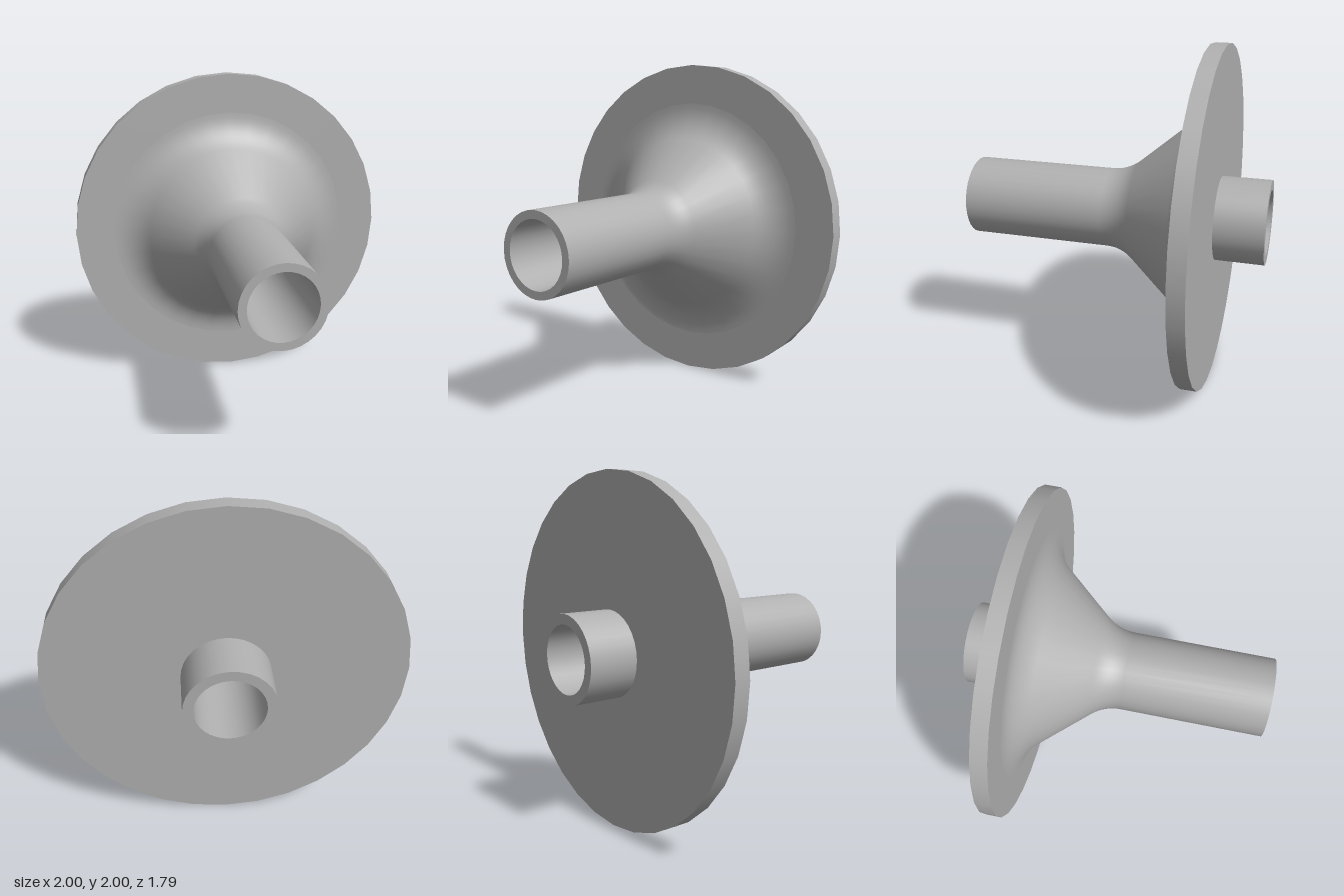
import * as THREE from 'three';

const SEGMENTS = 32;

export function createModel() {
  const group = new THREE.Group();
  const grey = new THREE.MeshStandardMaterial({ color: 0xb0b0b0 });
  grey.name = 'plain grey';

  const v = (r, z) => new THREE.Vector2(r, z);
  // Turned surface: points are [radius, z], faces look to the right of the path
  const turn = (points) => new THREE.LatheGeometry(points, SEGMENTS).rotateX(Math.PI / 2);
  const add = (name, ...profiles) => {
    const part = new THREE.Group();
    part.name = name;
    for (const p of profiles) {
      const mesh = new THREE.Mesh(turn(p), grey);
      mesh.name = name + 'Surface';
      part.add(mesh);
    }
    part.position.y = 1;
    group.add(part);
  };

  const bore = 0.19, frontR = 0.236, backR = 0.247;
  const back = -0.9, discBack = -0.613, discFront = -0.518, front = 0.895;

  // Short tube behind the disc
  add('backTube',
    [v(bore, back), v(backR, back)].map((p) => p),
    [v(backR, back), v(backR, discBack)]);

  // Round disc: back face, rim and the outer ring of its front face
  add('disc',
    [v(backR, discBack), v(1, discBack)],
    [v(1, discBack), v(1, discFront)],
    [v(1, discFront), v(0.76, discFront)]);

  // Conical hub with a concave fillet at each end, running into the front tube
  const rearFillet = new THREE.QuadraticBezierCurve(v(0.76, discFront), v(0.63, discFront), v(0.54, -0.41));
  const frontFillet = new THREE.QuadraticBezierCurve(v(0.302, -0.13), v(frontR, -0.055), v(frontR, 0.05));
  add('hubAndFrontTube',
    [...rearFillet.getPoints(8), ...frontFillet.getPoints(8), v(frontR, front)],
    [v(frontR, front), v(bore, front)]);

  // Through hole
  add('bore', [v(bore, front), v(bore, back)]);

  return group;
}
